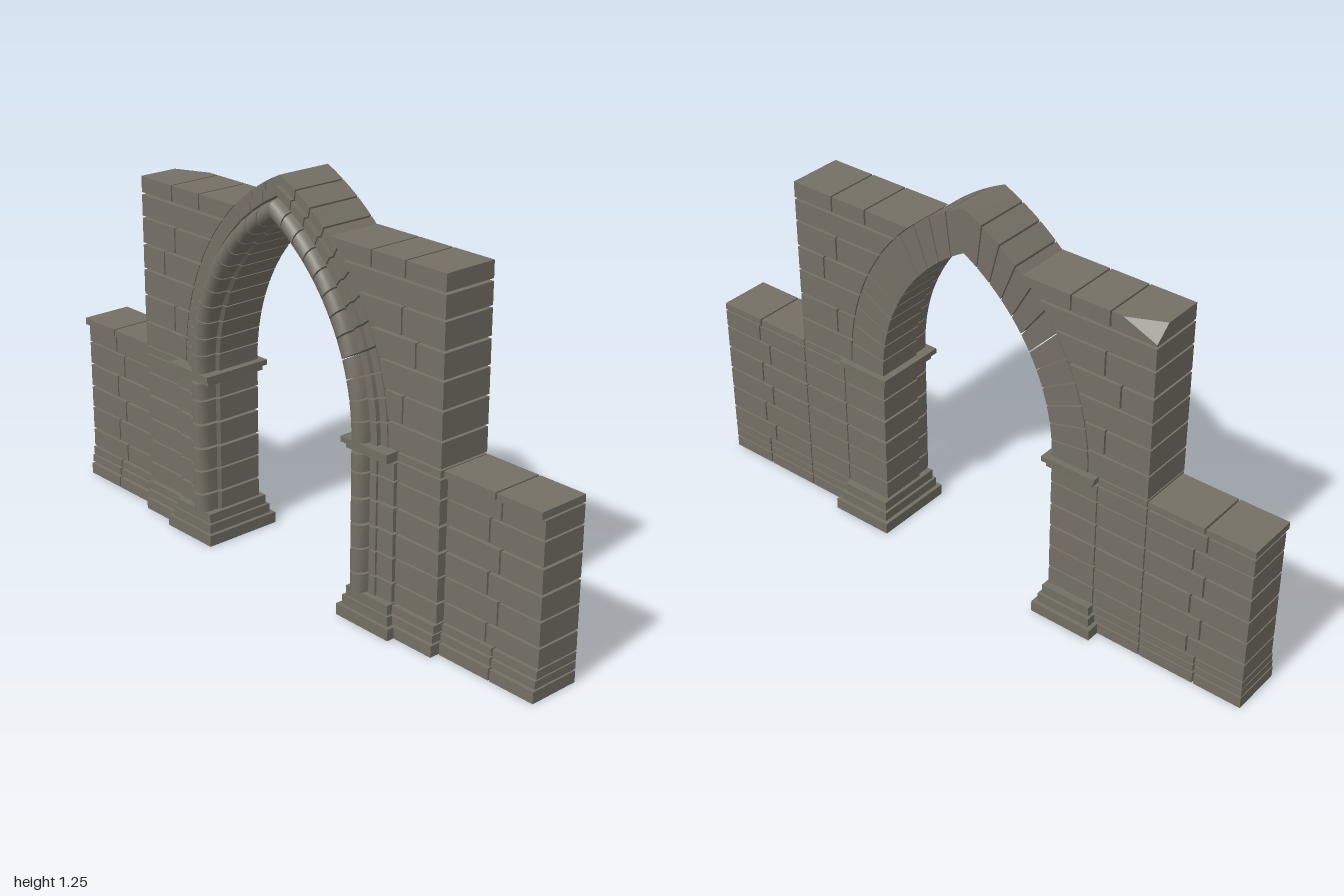
import * as THREE from 'three';
import { mergeGeometries, toCreasedNormals } from 'three/addons/utils/BufferGeometryUtils.js';
import { ConvexGeometry } from 'three/addons/geometries/ConvexGeometry.js';

const GAP = 0.006, BACK = -0.09, SPRING = 0.565;
const CENTRE = 0.304; // each arch curve is struck from x = -CENTRE on the far side
const OUTER = 0.749;

// Box given by its limits, shrunk to nothing but plain attributes for merging
function block(x0, x1, y0, y1, z0, z1) {
  const g = new THREE.BoxGeometry(x1 - x0, y1 - y0, z1 - z0);
  g.translate((x0 + x1) / 2, (y0 + y1) / 2, (z0 + z1) / 2);
  return plain(g);
}

function plain(g) {
  const n = g.index ? g.toNonIndexed() : g;
  n.deleteAttribute('uv');
  return n;
}

// Mirror in x, swapping two corners of each triangle to keep faces outward
function mirror(geo) {
  const g = geo.clone();
  for (const name of ['position', 'normal']) {
    const a = g.attributes[name].array;
    for (let i = 0; i < a.length; i += 9) {
      for (let k = 0; k < 3; k++) {
        const t = a[i + 3 + k];
        a[i + 3 + k] = a[i + 6 + k];
        a[i + 6 + k] = t;
      }
      for (let k = 0; k < 9; k += 3) a[i + k] *= -1;
    }
  }
  return g;
}

// Moulded cross-section [x, z]: jamb, roll, fillet and outer face
function moulding(outerX, outerZ) {
  const p = [[0.32, BACK], [0.32, 0.062], [0.328, 0.072], [0.328, 0.1]];
  for (let i = 1; i <= 7; i++) {
    const a = Math.PI * (1 - i / 8);
    p.push([0.357 + 0.029 * Math.cos(a), 0.1 + 0.035 * Math.sin(a)]);
  }
  p.push([0.387, 0.094], [0.392, 0.105], [0.418, 0.105], [0.418, outerZ], [outerX, outerZ], [outerX, BACK]);
  return p;
}

// Closed stone swept through several positions of a cross-section
function sweep(profile, steps, place) {
  const n = profile.length, pos = [], idx = [];
  steps.forEach((t) => profile.forEach(([x, z]) => pos.push(...place(x, z, t))));
  for (let s = 0; s < steps.length - 1; s++) {
    for (let i = 0; i < n; i++) {
      const a = s * n + i, b = s * n + (i + 1) % n;
      idx.push(a, b, b + n, a, b + n, a + n);
    }
  }
  const caps = THREE.ShapeUtils.triangulateShape(profile.map(([x, z]) => new THREE.Vector2(z, x)), []);
  const top = (steps.length - 1) * n;
  caps.forEach(([a, b, c]) => idx.push(top + a, top + b, top + c, a, c, b));
  const g = new THREE.BufferGeometry();
  g.setAttribute('position', new THREE.Float32BufferAttribute(pos, 3));
  g.setIndex(idx);
  return toCreasedNormals(g, 0.55);
}

const archX = (y) => Math.sqrt(OUTER ** 2 - (y - SPRING) ** 2) - CENTRE + 0.004;

// One upper wall course, its inner stone cut to the arch
function course(y0, y1, end, joints) {
  const out = [];
  const limits = [...joints, end];
  limits.forEach((x1, i) => {
    const right = x1 - (x1 === 0.65 ? 0 : GAP / 2);
    if (i > 0) {
      out.push(block(limits[i - 1] + GAP / 2, right, y0, y1, BACK, 0.09));
      return;
    }
    const pts = [[right, y0], [right, y1]];
    for (let k = 0; k <= 4; k++) {
      const y = y1 + (y0 - y1) * k / 4;
      pts.push([archX(y), y]);
    }
    const shape = new THREE.Shape(pts.map(([x, y]) => new THREE.Vector2(x, y)));
    const g = new THREE.ExtrudeGeometry(shape, { depth: 0.09 - BACK, bevelEnabled: false });
    out.push(plain(g.translate(0, 0, BACK)));
  });
  return out;
}

export function createModel() {
  const model = new THREE.Group();
  const stone = new THREE.MeshStandardMaterial({ color: 0x757065 });
  stone.name = 'stone';
  const trim = new THREE.MeshStandardMaterial({ color: 0x727063 });
  trim.name = 'trimStone';

  const add = (name, geo, mat = stone) => {
    const m = new THREE.Mesh(geo, mat);
    m.name = name;
    model.add(m);
  };
  const pair = (name, list, mat) => {
    const g = mergeGeometries(list);
    add('left' + name, g, mat);
    add('right' + name, mirror(g), mat);
  };

  // Lower courses shared by side walls, inner walls and piers
  const rows = [[0.1, 0.158], [0.165, 0.237], [0.243, 0.312], [0.32, 0.392], [0.4, 0.472], [0.478, 0.534]];
  const plinth = [[0, 0.036, 0.015], [0.042, 0.066, 0.01], [0.07, 0.095, 0.005]];
  const side = [], inner = [], feet = [], pier = [];
  const split = (list, y0, y1, joint, z1) => list.push(
    block(0.653, joint - GAP / 2, y0, y1, BACK, z1),
    block(joint + GAP / 2, 1, y0, y1, BACK, z1));

  rows.forEach(([y0, y1], i) => {
    split(side, y0, y1, i % 2 ? 0.85 : 0.81, 0.065);
    inner.push(block(0.484, 0.649, y0, y1, BACK, 0.09));
    pier.push(sweep(moulding(0.48, 0.098), [y0, Math.min(y1, 0.53)], (x, z, y) => [x, y, z]));
  });
  split(side, 0.54, 0.562, 0.84, 0.08);
  inner.push(block(0.484, 0.649, 0.54, 0.562, BACK, 0.09));
  plinth.forEach(([y0, y1, out]) => {
    split(feet, y0, y1, 0.84, 0.065 + out);
    feet.push(block(0.484, 0.649, y0, y1, BACK, 0.095 + out));
  });
  pair('SideWall', side);
  pair('InnerWall', inner);
  pair('WallPlinth', feet);
  pair('Pier', pier);

  // Stepped pier bases and capitals
  pair('PierBase', [
    block(0.29, 0.503, 0, 0.036, -0.133, 0.135),
    block(0.303, 0.49, 0.036, 0.066, -0.12, 0.124),
    block(0.312, 0.482, 0.066, 0.097, -0.11, 0.117),
  ], trim);
  pair('Capital', [
    block(0.308, 0.47, 0.53, 0.548, -0.1, 0.118),
    block(0.297, 0.482, 0.548, 0.565, -0.109, 0.13),
  ], trim);

  // Upper wall courses
  const upper = [
    [0.568, 0.643, []], [0.65, 0.731, [0.5]], [0.738, 0.816, []], [0.823, 0.897, [0.545]],
    [0.905, 0.984, [0.49]], [0.991, 1.058, []],
  ].flatMap(([y0, y1, joints]) => course(y0, y1, 0.65, joints));
  upper.push(...course(1.066, 1.117, 0.5, [0.37]));
  pair('UpperWall', upper);

  // Top end stones; one has a broken rear corner
  add('leftTopStone', block(0.503, 0.65, 1.066, 1.117, BACK, 0.09));
  const chipped = [
    [-0.65, 1.066, 0.09], [-0.503, 1.066, 0.09], [-0.503, 1.066, BACK], [-0.65, 1.066, BACK],
    [-0.65, 1.117, 0.09], [-0.503, 1.117, 0.09], [-0.503, 1.117, BACK],
    [-0.54, 1.117, BACK], [-0.65, 1.117, -0.04], [-0.65, 1.072, BACK],
  ];
  add('rightChippedTopStone', new ConvexGeometry(chipped.map((p) => new THREE.Vector3(...p))));

  // Pointed arch: moulded wedge stones meeting at the crown
  const count = 12, arch = [];
  const place = (x, z, t) => {
    const r = x + CENTRE;
    const a = t * Math.acos(CENTRE / r);
    return [r * Math.cos(a) - CENTRE, SPRING + r * Math.sin(a), z];
  };
  for (let i = 0; i < count; i++) {
    const t0 = i / count + (i ? 0.003 : 0);
    const t1 = (i + 1) / count - (i < count - 1 ? 0.003 : 0);
    arch.push(sweep(moulding(OUTER - CENTRE, 0.091), [t0, (t0 + t1) / 2, t1], place));
  }
  pair('Arch', arch);

  return model;
}
